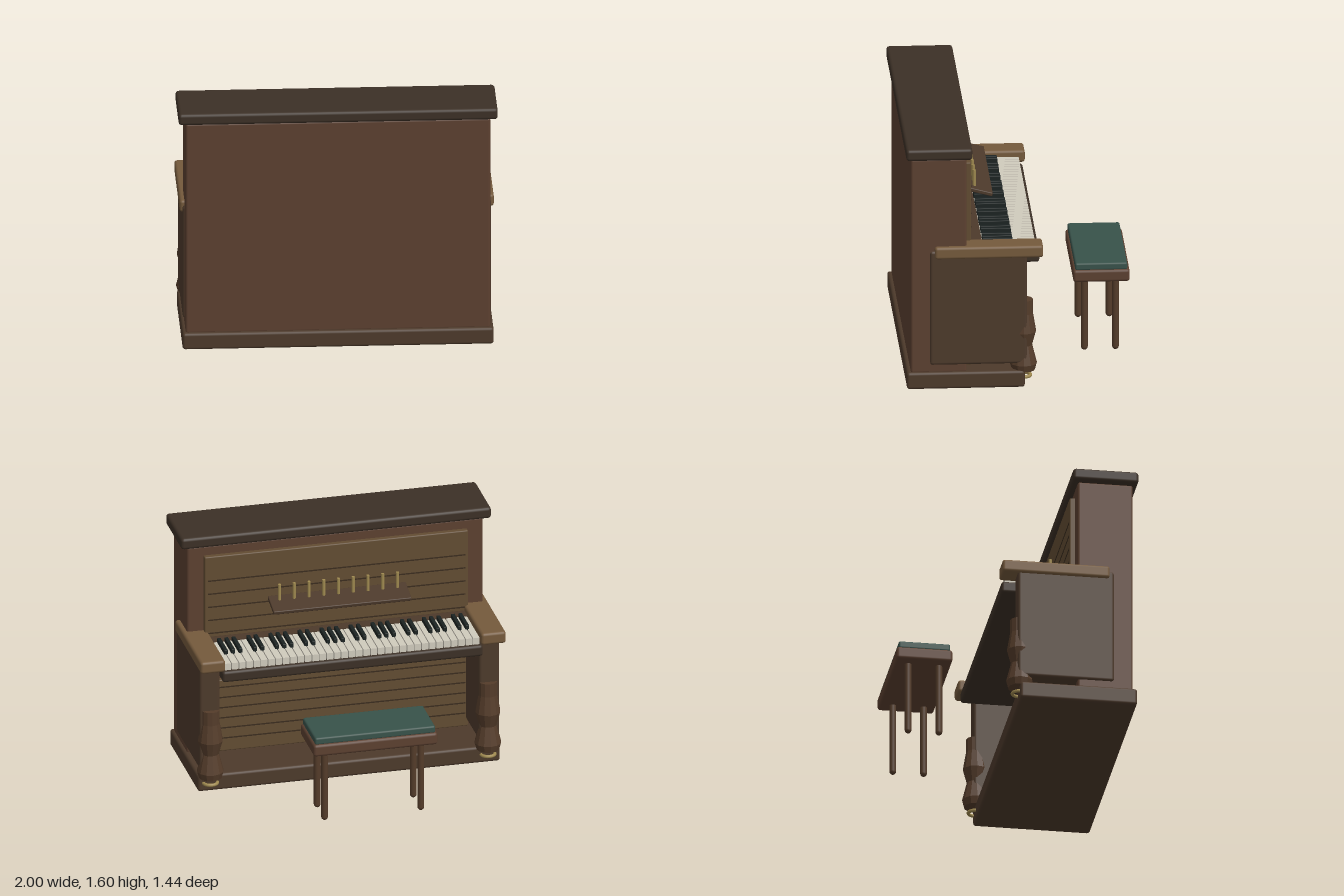
import * as THREE from 'three';
import { RoundedBoxGeometry } from 'three/addons/geometries/RoundedBoxGeometry.js';

const mat = (color) => new THREE.MeshStandardMaterial({ color });
const M = {
  cabinet: mat(0x5c4030), dark: mat(0x3c3026), base: mat(0x4d3a2b), arm: mat(0x755a3c),
  panel: mat(0x624c32), groove: mat(0x3a2c1e), ivory: mat(0xd0cbbd), ebony: mat(0x1c2322),
  brass: mat(0xa08a50), cushion: mat(0x38524a), leg: mat(0x543c2a),
};
const turned = mat(0x543c2a);
turned.flatShading = true;

export function createModel() {
  const root = new THREE.Group();

  const add = (parent, name, geometry, material, x = 0, y = 0, z = 0) => {
    const mesh = new THREE.Mesh(geometry, material);
    mesh.name = name;
    mesh.position.set(x, y, z);
    parent.add(mesh);
    return mesh;
  };
  // Box given by its limits on each axis, rounded when r > 0
  const block = (parent, name, material, [x0, x1], [y0, y1], [z0, z1], r = 0) => {
    const size = [x1 - x0, y1 - y0, z1 - z0];
    const geometry = r ? new RoundedBoxGeometry(...size, 2, r) : new THREE.BoxGeometry(...size);
    return add(parent, name, geometry, material, (x0 + x1) / 2, (y0 + y1) / 2, (z0 + z1) / 2);
  };
  const group = (name) => {
    const g = new THREE.Group();
    g.name = name;
    root.add(g);
    return g;
  };

  // Case
  const body = group('case');
  block(body, 'plinth', M.base, [-0.975, 0.975], [0, 0.11], [-0.025, 0.715], 0.018);
  block(body, 'cabinet', M.cabinet, [-0.955, 0.955], [0.1, 1.52], [0.34, 0.69], 0.015);
  block(body, 'lid', M.dark, [-1, 1], [1.52, 1.595], [0.305, 0.72], 0.02);
  block(body, 'upperPanel', M.panel, [-0.85, 0.85], [0.9, 1.455], [0.305, 0.345], 0.008);
  block(body, 'lowerPanel', M.panel, [-0.85, 0.85], [0.11, 0.6], [0.305, 0.345], 0.008);

  // Thin horizontal lines across both panels
  for (let i = 0; i < 5; i++) {
    const y = 1.29 - i * 0.09;
    block(body, 'upperGroove', M.groove, [-0.83, 0.83], [y - 0.004, y + 0.004], [0.302, 0.308]);
  }
  for (let i = 0; i < 6; i++) {
    const y = 0.2 + i * 0.07;
    block(body, 'lowerGroove', M.groove, [-0.83, 0.83], [y - 0.004, y + 0.004], [0.302, 0.308]);
  }

  // Side cheeks, arms, turned legs and foot rings
  const profile = [[0, 0.095], [0.073, 0.095], [0.085, 0.14], [0.055, 0.26], [0.08, 0.35], [0.06, 0.47], [0.06, 0.56], [0, 0.56]]
    .map(([r, y]) => new THREE.Vector2(r, y));
  for (const side of [-1, 1]) {
    const span = (a, b) => (side > 0 ? [a, b] : [-b, -a]);
    block(body, 'sideCheek', M.base, span(0.835, 0.967), [0.155, 0.91], [-0.04, 0.57], 0.018);
    block(body, 'arm', M.arm, span(0.825, 0.985), [0.86, 0.94], [-0.14, 0.54], 0.018);
    add(body, 'turnedLeg', new THREE.LatheGeometry(profile, 12), turned, side * 0.895, 0, -0.02);
    const ring = add(body, 'footRing', new THREE.TorusGeometry(0.045, 0.011, 8, 20), M.brass, side * 0.895, 0.057, -0.02);
    ring.rotation.x = Math.PI / 2;
  }

  // Keyboard: five octaves
  const keyboard = group('keyboard');
  block(keyboard, 'keyBed', M.dark, [-0.84, 0.84], [0.78, 0.855], [-0.125, 0.34], 0.018);
  block(keyboard, 'fallboard', M.base, [-0.825, 0.825], [0.85, 0.905], [0.232, 0.31]);
  const count = 35, left = -0.825, step = 1.65 / count;
  for (let i = 0; i < count; i++) {
    const x = left + i * step;
    block(keyboard, 'whiteKey', M.ivory, [x + 0.003, x + step - 0.003], [0.85, 0.9], [-0.1, 0.23]);
    if ([1, 2, 4, 5, 6].includes(i % 7)) {
      block(keyboard, 'blackKey', M.ebony, [x - 0.012, x + 0.012], [0.89, 0.928], [0.04, 0.23], 0.004);
    }
  }

  // Sloping music shelf with a row of pegs
  const stand = group('musicStand');
  const shelf = add(stand, 'musicShelf', new RoundedBoxGeometry(0.89, 0.025, 0.165, 2, 0.006), M.base, 0, 1.117, 0.224);
  shelf.rotation.x = -0.26;
  for (let i = -4; i <= 4; i++) {
    add(stand, 'peg', new THREE.CylinderGeometry(0.01, 0.01, 0.12, 10), M.brass, i * 0.095, 1.182, 0.255);
  }

  // Pedals: curved bars that widen toward the toe
  const pedals = group('pedals');
  const curve = new THREE.CatmullRomCurve3([[0.15, 0.32], [0.136, 0.25], [0.115, 0.17], [0.113, 0.1]]
    .map(([y, z]) => new THREE.Vector3(0, y, z)));
  const rings = 16, sides = 8;
  const pedalShape = new THREE.TubeGeometry(curve, rings, 0.012, sides);
  const position = pedalShape.attributes.position;
  for (let i = 0; i < position.count; i++) {
    const t = Math.floor(i / (sides + 1)) / rings;
    position.setX(i, position.getX(i) * (0.8 + 1.2 * Math.sin(Math.PI * t * 0.85)));
  }
  pedalShape.computeVertexNormals();
  for (const x of [-0.16, 0, 0.16]) {
    add(pedals, 'pedal', pedalShape, M.brass, x);
    add(pedals, 'pedalTip', new THREE.SphereGeometry(0.013, 10, 6), M.brass, x, 0.113, 0.1);
  }

  // Bench
  const bench = group('bench');
  block(bench, 'benchFrame', M.cabinet, [-0.4, 0.4], [0.485, 0.565], [-0.72, -0.365], 0.018);
  block(bench, 'cushion', M.cushion, [-0.388, 0.388], [0.56, 0.608], [-0.705, -0.378], 0.012);
  for (const x of [-0.31, 0.31]) for (const z of [-0.635, -0.44]) {
    add(bench, 'benchLeg', new THREE.CapsuleGeometry(0.022, 0.45, 3, 12), M.leg, x, 0.257, z);
  }
  return root;
}
